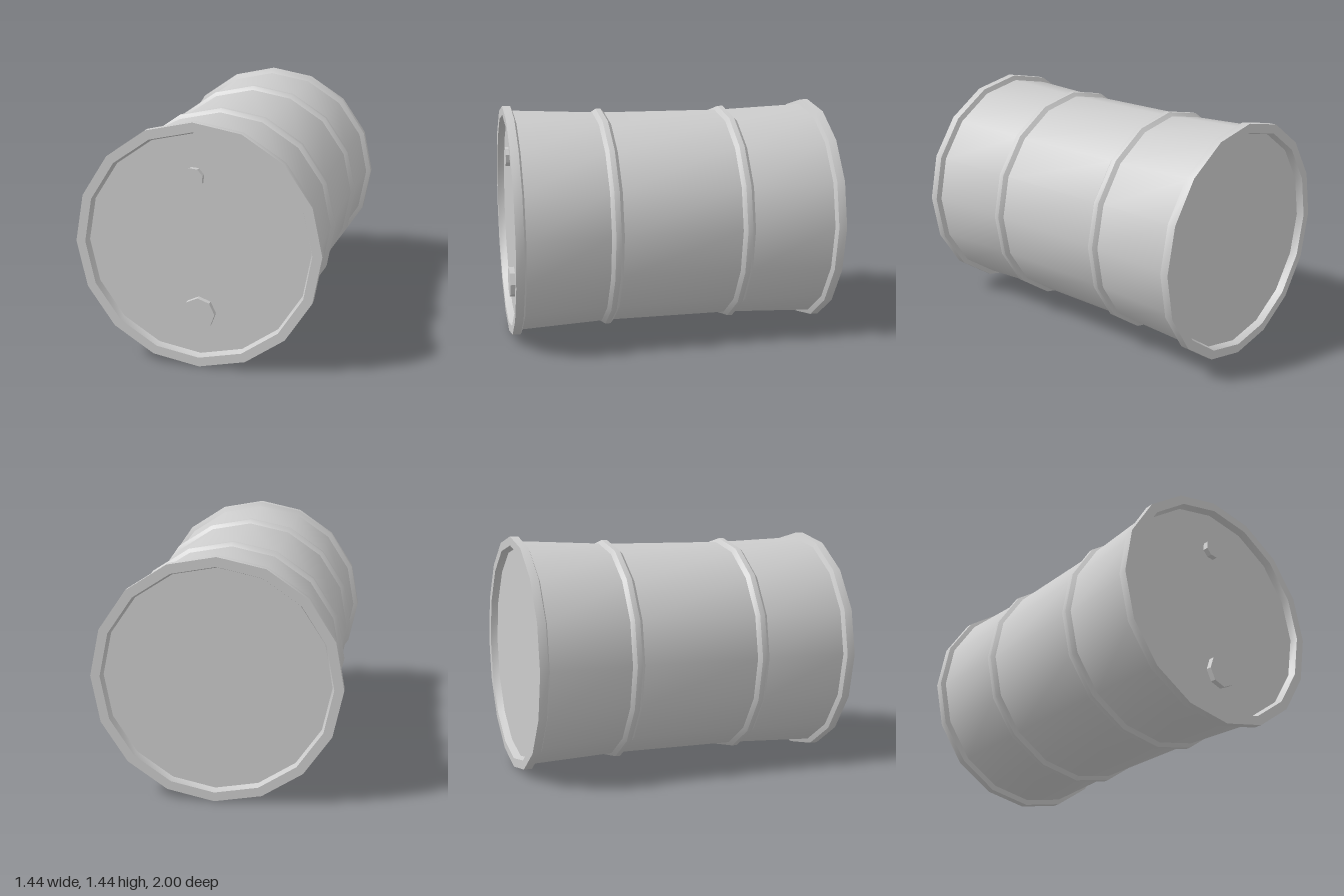
import * as THREE from 'three';
import { toCreasedNormals } from 'three/addons/utils/BufferGeometryUtils.js';

const RADIUS = 0.722;
const SIDES = 16;
const TWIST = 0.015;

export function createModel() {
  const drum = new THREE.Group();
  drum.name = 'drum';
  const material = new THREE.MeshStandardMaterial({ color: 0xcccccc });

  const add = (name, geometry) => {
    const mesh = new THREE.Mesh(toCreasedNormals(geometry, Math.PI / 6), material);
    mesh.name = name;
    drum.add(mesh);
    return mesh;
  };

  // Half profile [radius, distance from the middle]: wall, rib, flared end, rim, recessed lid
  const half = [
    [0.668, 0.362], [0.692, 0.384], [0.692, 0.416], [0.67, 0.438],
    [0.692, 0.937], [RADIUS, 0.95], [RADIUS, 1],
    [0.667, 1], [0.655, 0.957], [0, 0.957],
  ];
  const profile = [
    ...half.slice().reverse().map(([r, d]) => new THREE.Vector2(r, -d)),
    ...half.map(([r, d]) => new THREE.Vector2(r, d)),
  ];
  const shell = new THREE.LatheGeometry(profile, SIDES, TWIST, Math.PI * 2);
  shell.rotateX(Math.PI / 2);
  add('shell', shell).position.y = RADIUS;

  // Two octagonal plugs on the front lid
  const plug = (name, radius, x, y, turn) => {
    const geometry = new THREE.CylinderGeometry(radius, radius, 0.05, 8);
    geometry.rotateY(turn).rotateX(Math.PI / 2);
    add(name, geometry).position.set(x, y, 0.965);
  };
  plug('ventPlug', 0.06, -0.016, 1.126, 0.3);
  plug('fillPlug', 0.097, 0.007, 0.322, 0.04);

  return drum;
}
